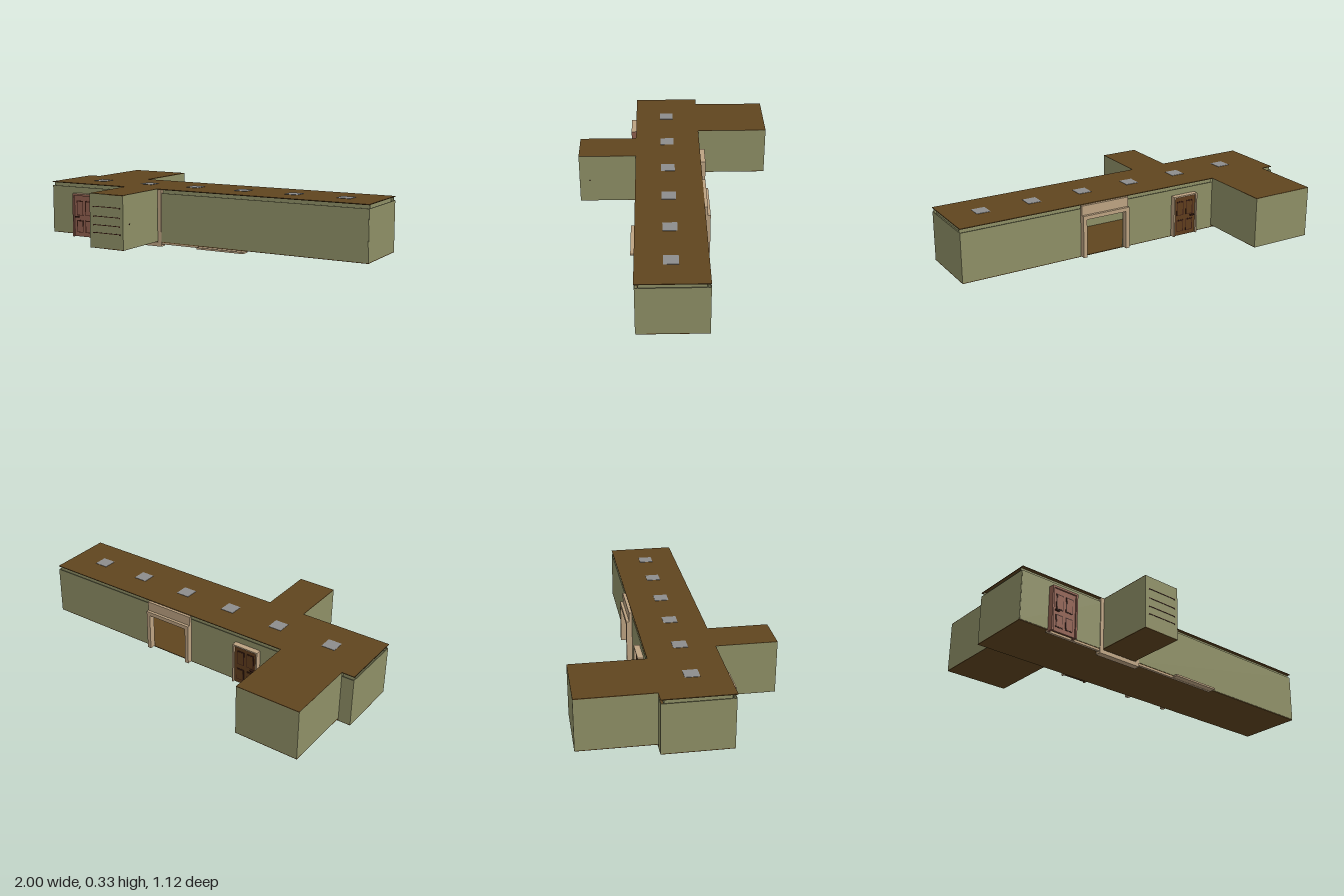
import * as THREE from 'three';

const mat = (color) => new THREE.MeshStandardMaterial({ color, side: THREE.DoubleSide });

export function createModel() {
  const root = new THREE.Group();
  const olive = mat(0x8e8f66), brown = mat(0x60451f), tan = mat(0xbda382);
  const red = mat(0x8f5f4f), wood = mat(0x5f3c1c), dark = mat(0x3a1d14), grey = mat(0x8c8c8c);

  // box given by its extents on each axis
  const box = (name, m, x0, x1, y0, y1, z0, z1, parent = root) => {
    const mesh = new THREE.Mesh(new THREE.BoxGeometry(x1 - x0, y1 - y0, z1 - z0), m);
    mesh.position.set((x0 + x1) / 2, (y0 + y1) / 2, (z0 + z1) / 2);
    mesh.name = name;
    parent.add(mesh);
    return mesh;
  };
  const T = 0.004; // wall thickness
  const B = 0.03, W = 0.305, H = 0.328; // floor, wall top, ceiling

  // corridor floor and ceiling
  box('corridorFloor', brown, -1, 1, B - T, B, -0.15, 0.22);
  box('corridorCeiling', brown, -1, 1, H - T, H, -0.15, 0.225);

  // corridor walls, broken by the side rooms and doorways, with an inset cornice above
  const wallX = (name, x0, x1, z, inward) => {
    box(name, olive, x0, x1, B, W, z - T / 2, z + T / 2);
    const c = z + inward * 0.016;
    box(name + 'Cornice', olive, x0, x1, W - 0.01, H - T, c - T / 2, c + T / 2);
  };
  wallX('frontWallRight', -0.998, -0.48, 0.22, -1);
  wallX('frontWallLeft', -0.26, 0.998, 0.22, -1);
  wallX('backWallCorner', -0.998, -0.93, -0.148, 1);
  wallX('backWallMiddle', -0.57, 0.04, -0.148, 1);
  wallX('backWallLeft', 0.285, 0.998, -0.148, 1);
  box('openingHeadWall', olive, 0.04, 0.285, 0.27, W, -0.15, -0.146);
  for (const s of [-1, 1]) {
    const end = s * 0.998, inner = s * 0.982;
    box('endWall', olive, end - T / 2, end + T / 2, B, W, -0.15, 0.22);
    box('endCornice', olive, inner - T / 2, inner + T / 2, W - 0.01, H - T, -0.13, 0.205);
  }

  // side rooms, open towards the corridor
  const room = (name, x0, x1, y0, zIn, zOut) => {
    const g = new THREE.Group();
    g.name = name;
    root.add(g);
    const [a, b] = [Math.min(zIn, zOut), Math.max(zIn, zOut)];
    box('roomFloor', brown, x0, x1, y0, y0 + T, a, b, g);
    box('roomCeiling', brown, x0, x1, H - T, H, a, b, g);
    for (const x of [x0, x1 - T]) box('roomSideWall', olive, x, x + T, y0 + 0.001, H - 0.001, a, b, g);
    const e = zOut > 0 ? zOut - T : zOut;
    box('roomEndWall', olive, x0, x1, y0 + 0.001, H - 0.001, e, e + T, g);
  };
  room('backRoom', -0.93, -0.565, 0.04, -0.15, -0.56);
  room('frontAlcove', -0.477, -0.258, B, 0.22, 0.557);

  // shelf slots on the alcove end
  for (const y of [0.258, 0.205, 0.158, 0.115]) {
    box('shelfSlot', dark, -0.455, -0.28, y - 0.002, y + 0.002, 0.553, 0.559);
    for (const x of [-0.455, -0.283]) box('shelfBracket', dark, x, x + 0.006, y - 0.005, y + 0.002, 0.553, 0.559);
  }
  box('wallHook', dark, -0.26, -0.256, 0.163, 0.169, 0.494, 0.5);

  // alcove opening trim
  for (const x of [-0.498, -0.254]) box('alcovePost', tan, x, x + 0.022, 0.005, H - T, 0.19, 0.226);
  box('alcoveSill', tan, -0.498, -0.232, 0.003, 0.026, 0.19, 0.226);

  // trim strip along the base of the front wall and threshold
  box('baseTrim', tan, -0.83, 0.305, 0.016, 0.026, 0.205, 0.22);
  box('frontThreshold', tan, 0.015, 0.305, 0.016, 0.026, 0.222, 0.256);

  // panelled door with recess lines, facing dir along z
  const panelDoor = (name, m, x0, x1, y0, y1, z, dir) => {
    const g = new THREE.Group();
    g.name = name;
    root.add(g);
    const w = x1 - x0, h = y1 - y0;
    box('doorLeaf', m, x0, x1, y0, y1, z - 0.005, z + 0.005, g);
    for (const u of [0.12, 0.56])
      for (const [v, k] of [[0.1, 0.3], [0.52, 0.36]]) {
        const px = x0 + u * w, py = y0 + v * h, pw = w * 0.32, ph = h * k, zf = z + dir * 0.006;
        box('panelRecess', dark, px, px + pw, py, py + ph, zf - 0.001, zf + 0.001, g);
        box('raisedPanel', m, px + 0.006, px + pw - 0.003, py + 0.004, py + ph - 0.006, zf - 0.002, zf + 0.002, g);
      }
    box('doorHandle', dark, x0 + 0.01, x0 + 0.035, y0 + h * 0.47, y0 + h * 0.5, z + dir * 0.012 - 0.006, z + dir * 0.012 + 0.006, g);
  };
  const frame = (name, m, x0, x1, y0, y1, z0, z1, t) => {
    for (const x of [x0, x1 - t]) box(name + 'Post', m, x, x + t, y0, y1, z0, z1);
    box(name + 'Head', m, x0, x1, y1 - t, y1, z0, z1);
  };

  // front door
  frame('frontDoorFrame', red, -0.83, -0.672, 0.016, 0.268, 0.222, 0.256, 0.01);
  box('frontDoorHeadTrim', tan, -0.83, -0.672, 0.268, 0.27, 0.222, 0.256);
  panelDoor('frontDoor', red, -0.82, -0.682, 0.018, 0.258, 0.243, 1);

  // back door
  frame('backDoorFrame', tan, -0.44, -0.283, B, 0.27, -0.182, -0.15, 0.008);
  panelDoor('backDoor', wood, -0.432, -0.291, B, 0.262, -0.165, -1);

  // open doorway at the back with a tall head
  frame('openingFrame', tan, 0.015, 0.305, B, 0.27, -0.182, -0.146, 0.022);
  box('openingHeader', tan, 0.015, 0.305, 0.27, H - T, -0.166, -0.15);

  // ceiling light panels, showing on both faces
  for (const x of [-0.76, -0.43, -0.117, 0.19, 0.5, 0.8])
    box('ceilingLight', grey, x - 0.039, x + 0.039, H - T - 0.003, H + 0.002, 0.002, 0.08);

  return root;
}
